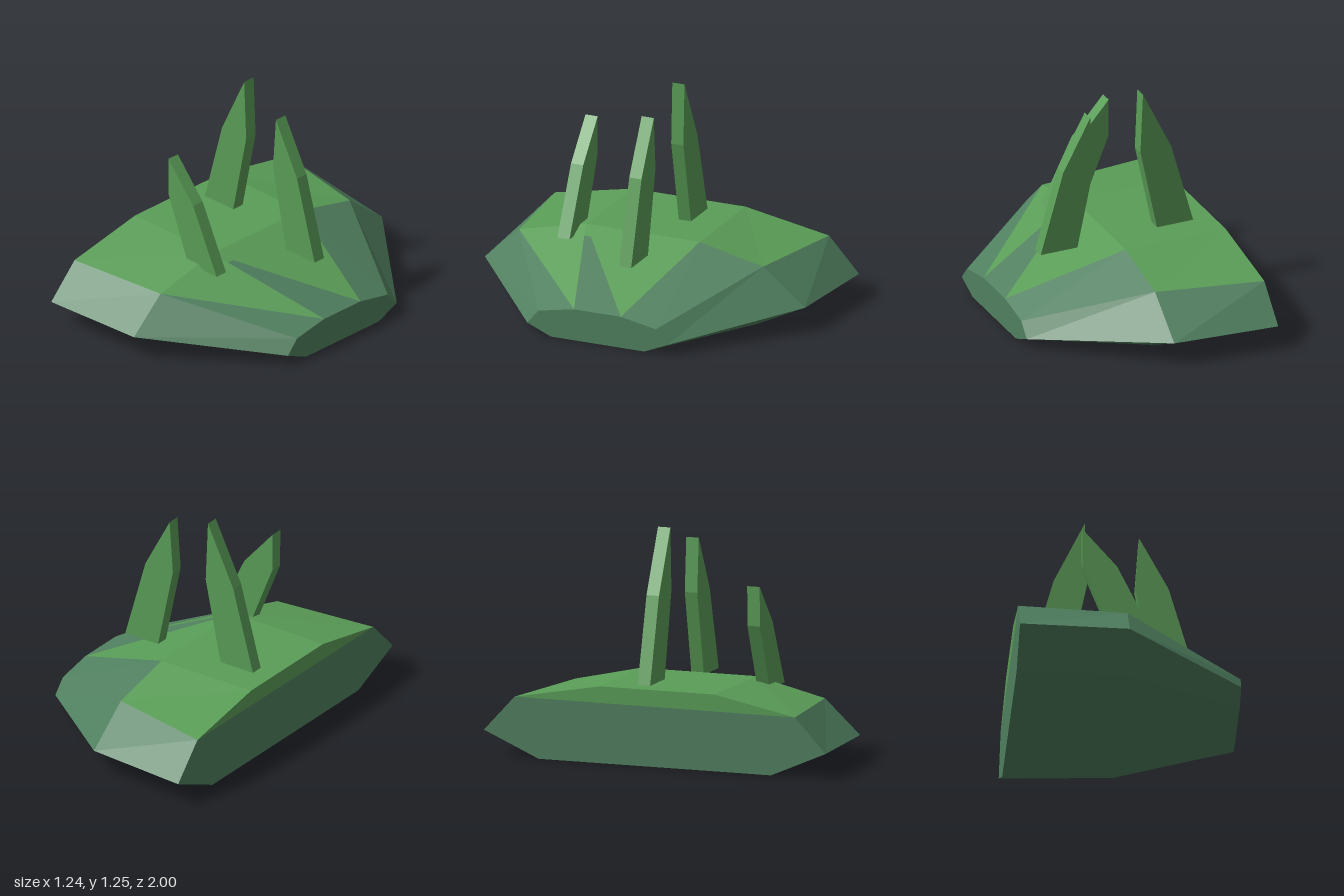
import * as THREE from 'three';

export function createModel() {
  const model = new THREE.Group();
  const material = (name, color, side) => Object.assign(
    new THREE.MeshStandardMaterial({ color, flatShading: true }), { name });
  const grass = material('grassGreen', 0x5a9d57);
  const stone = material('mossyStone', 0x50805f);

  // Cross-sections of the rock along x, as [z, y] running front, over the top, back, underneath
  const section = (x, points) => points.map(([z, y]) => new THREE.Vector3(x, y, z));
  const left = section(-0.62, [[1, 0.14], [0.82, 0.33], [0.35, 0.425], [-0.32, 0.425],
    [-0.82, 0.335], [-1, 0.14], [-0.68, 0], [0.68, 0]]);
  const middle = section(-0.02, [[0.965, 0.14], [0.76, 0.33], [0.36, 0.425], [-0.32, 0.425],
    [-0.7, 0.34], [-0.95, 0.14], [-0.66, 0], [0.66, 0]]);
  const end = section(0.62, [[0.42, 0.06], [0.35, 0.14], [0.14, 0.18], [-0.14, 0.18],
    [-0.35, 0.14], [-0.42, 0.06], [-0.28, 0], [0.28, 0]]);

  const grassFaces = [], stoneFaces = [];
  // Adds a convex polygon as a fan of triangles
  const face = (list, ...p) => {
    for (let i = 1; i < p.length - 1; i++) list.push(p[0], p[i], p[i + 1]);
  };
  const strip = (list, a, b, j) => {
    const k = (j + 1) % 8;
    face(list, a[j], b[j], b[k], a[k]);
  };

  // Left half: grass on the three upper strips
  for (let j = 0; j < 8; j++) strip(j >= 1 && j <= 3 ? grassFaces : stoneFaces, left, middle, j);
  // Right half: bare stone except for the patches on the top and front slope
  for (const j of [0, 3, 4, 5, 6, 7]) strip(stoneFaces, middle, end, j);
  face(stoneFaces, middle[1], end[1], end[2]);
  face(grassFaces, middle[1], end[2], middle[2]);
  face(grassFaces, middle[2], end[3], middle[3]);
  const p = middle[2].clone().lerp(end[2], 0.14);
  const q = middle[2].clone().lerp(end[3], 0.14);
  face(grassFaces, middle[2], p, q);
  face(stoneFaces, p, end[2], end[3], q);
  // End caps; the upper part of the left one is grassy
  face(grassFaces, left[1], left[2], left[3], left[4]);
  face(stoneFaces, left[0], left[1], left[4], left[5], left[6], left[7]);
  face(stoneFaces, ...[...end].reverse());

  const addFaces = (name, points, mat) => {
    const geometry = new THREE.BufferGeometry().setFromPoints(points);
    geometry.computeVertexNormals();
    const mesh = new THREE.Mesh(geometry, mat);
    mesh.name = name;
    model.add(mesh);
  };
  addFaces('grassTop', grassFaces, grass);
  addFaces('rockBody', stoneFaces, stone);

  // Flat grass blades: outline in x, y and the z of the back face
  const blades = [
    [-0.145, [[-0.52, 0.375], [-0.3, 0.375], [-0.19, 0.9], [-0.205, 1.25], [-0.375, 0.9]]],
    [-0.095, [[0.165, 0.375], [0.385, 0.375], [0.25, 0.845], [0.088, 1.147], [0.066, 0.845]]],
    [0.395, [[-0.1, 0.375], [0.12, 0.375], [-0.06, 0.745], [-0.25, 0.965], [-0.248, 0.745]]],
  ];
  blades.forEach(([z, outline], i) => {
    const shape = new THREE.Shape(outline.map(([x, y]) => new THREE.Vector2(x, y)));
    const blade = new THREE.Mesh(
      new THREE.ExtrudeGeometry(shape, { depth: 0.073, bevelEnabled: false }), grass);
    blade.position.z = z;
    blade.name = `grassBlade${i + 1}`;
    model.add(blade);
  });
  return model;
}
